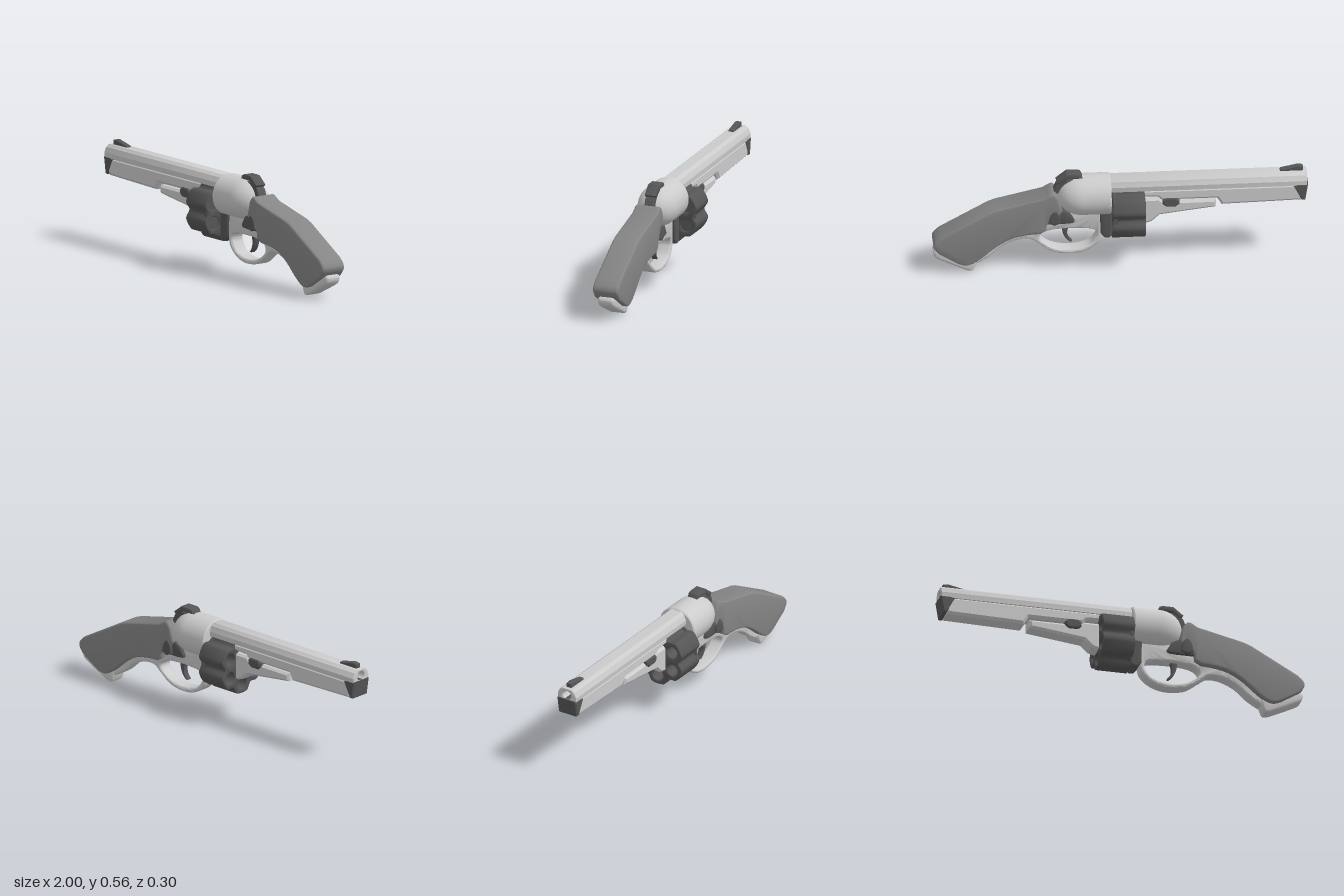
import * as THREE from 'three';
import { toCreasedNormals } from 'three/addons/utils/BufferGeometryUtils.js';

const light = new THREE.MeshStandardMaterial({ color: 0xcccccc });
const mid = new THREE.MeshStandardMaterial({ color: 0x858585 });
const dark = new THREE.MeshStandardMaterial({ color: 0x565656 });

const vectors = (pts) => pts.map(([x, y]) => new THREE.Vector2(x, y));
const polygon = (pts) => new THREE.Shape(vectors(pts));

// Closed outline from straight runs and smooth runs (splines through their points)
function outline(...runs) {
  const shape = new THREE.Shape();
  runs.forEach((run, i) => {
    const [first, ...rest] = vectors(run);
    if (i === 0) shape.moveTo(first.x, first.y);
    else shape.lineTo(first.x, first.y);
    if (rest.length) shape.splineThru(rest);
  });
  return shape;
}

// Extrusion across z, centred, whose outline keeps its size when bevelled
function plateGeometry(shape, half, bevel, segments = 1, curveSegments = 6) {
  const geo = new THREE.ExtrudeGeometry(shape, {
    depth: 2 * (half - bevel), bevelEnabled: bevel > 0, bevelThickness: bevel,
    bevelSize: bevel, bevelOffset: -bevel, bevelSegments: segments, curveSegments,
  });
  return geo.translate(0, 0, -(half - bevel));
}

export function createModel() {
  const model = new THREE.Group();
  const add = (name, geo, material, crease = 0.6) => {
    const mesh = new THREE.Mesh(toCreasedNormals(geo, crease), material);
    mesh.name = name;
    model.add(mesh);
    return mesh;
  };
  const plate = (name, shape, half, bevel, material, segments = 1, crease = 0.6) =>
    add(name, plateGeometry(shape, half, bevel, segments), material, crease);
  // Section given in (z, y), extruded along x
  const alongX = (shape, x0, x1, bevel = 0) =>
    plateGeometry(shape, (x1 - x0) / 2, bevel, 2, 10).rotateY(Math.PI / 2).translate((x0 + x1) / 2, 0, 0);

  // Upper barrel with its bore
  const upper = polygon([
    [-0.058, 0.462], [0.058, 0.462], [0.06, 0.49], [0.048, 0.518], [0.03, 0.532],
    [-0.03, 0.532], [-0.048, 0.518], [-0.06, 0.49],
  ]);
  upper.holes.push(new THREE.Path().absarc(0, 0.492, 0.026, 0, Math.PI * 2, true));
  add('upperBarrel', alongX(upper, -0.995, 0.07, 0.006), light, 0.4);

  // Lower barrel, stepped up above the lug
  plate('lowerBarrel', polygon([
    [-0.975, 0.468], [-0.965, 0.37], [-0.54, 0.36], [-0.515, 0.4], [-0.22, 0.4],
    [-0.2, 0.42], [-0.1, 0.425], [-0.1, 0.468],
  ]), 0.056, 0.014, light, 1, 0.3);

  // Dark muzzle shoe and front sight
  plate('muzzleShoe', polygon([
    [-1, 0.47], [-0.985, 0.375], [-0.965, 0.375], [-0.92, 0.462], [-0.94, 0.47],
  ]), 0.06, 0.006, dark);
  plate('frontSight', polygon([
    [-0.975, 0.525], [-0.975, 0.555], [-0.95, 0.56], [-0.855, 0.54], [-0.85, 0.525],
  ]), 0.016, 0.004, dark);

  // Lug under the barrel and its latch
  plate('lug', polygon([
    [-0.51, 0.39], [-0.51, 0.345], [-0.21, 0.308], [-0.17, 0.27], [-0.14, 0.26],
    [-0.12, 0.26], [-0.12, 0.41], [-0.21, 0.41], [-0.23, 0.39],
  ]), 0.05, 0.012, light, 1, 0.3);
  plate('latch', polygon([
    [-0.315, 0.4], [-0.315, 0.378], [-0.295, 0.362], [-0.245, 0.362],
    [-0.225, 0.378], [-0.225, 0.4], [-0.245, 0.417], [-0.295, 0.417],
  ]), 0.062, 0.008, dark);

  // Fluted cylinder with chambers
  const cylinderY = 0.33;
  const flutePoints = [];
  for (let i = 0; i < 120; i++) {
    const a = (i / 120) * Math.PI * 2;
    const away = Math.abs(((a + Math.PI / 6) % (Math.PI / 3)) - Math.PI / 6) / 0.32;
    const r = 0.16 - (away < 1 ? 0.0145 * (1 + Math.cos(Math.PI * away)) : 0);
    flutePoints.push([r * Math.cos(a), cylinderY + r * Math.sin(a)]);
  }
  const drum = polygon(flutePoints);
  for (let i = 0; i < 6; i++) {
    const a = ((i + 0.5) * Math.PI) / 3;
    drum.holes.push(new THREE.Path().absarc(
      0.106 * Math.cos(a), cylinderY + 0.106 * Math.sin(a), 0.034, 0, Math.PI * 2, true));
  }
  add('cylinder', alongX(drum, -0.13, 0.045, 0.005), dark);
  const rear = new THREE.CylinderGeometry(0.14, 0.14, 0.015, 36).rotateZ(Math.PI / 2);
  add('chamberBacking', rear.translate(0.03, cylinderY, 0), dark);
  plate('recoilPlate', outline(
    [[0.04, 0.4], [0.04, 0.2]], [[0.06, 0.18], [0.085, 0.185], [0.105, 0.21]], [[0.11, 0.4]],
  ), 0.055, 0.012, dark, 3);

  // Round receiver with a domed back
  const dome = [[0, 0.05], [0.106, 0.05], [0.112, 0.056], [0.112, 0.2]];
  for (let i = 1; i <= 10; i++) {
    const a = (i / 10) * Math.PI / 2;
    dome.push([0.112 * Math.cos(a), 0.2 + 0.135 * Math.sin(a)]);
  }
  dome[dome.length - 1][0] = 0;
  const receiver = new THREE.LatheGeometry(vectors(dome), 48).rotateZ(-Math.PI / 2);
  add('receiver', receiver.translate(0, 0.428, 0), light);

  // Lower frame, trigger guard and tang in one piece
  const frame = outline(
    [[0.1, 0.34], [0.098, 0.2], [0.125, 0.14], [0.19, 0.098], [0.27, 0.086], [0.36, 0.102],
      [0.43, 0.15], [0.48, 0.183], [0.55, 0.18], [0.63, 0.145], [0.7, 0.085], [0.765, 0.045]],
    [[0.8, 0.1], [0.66, 0.2], [0.5, 0.27]],
    [[0.4, 0.34]],
  );
  frame.holes.push(new THREE.Path().setFromPoints(new THREE.SplineCurve(vectors([
    [0.125, 0.19], [0.16, 0.14], [0.22, 0.118], [0.29, 0.113], [0.37, 0.132], [0.425, 0.175],
    [0.42, 0.21], [0.37, 0.233], [0.27, 0.24], [0.17, 0.235], [0.13, 0.22], [0.125, 0.19],
  ])).getPoints(44).slice(0, -1)));
  plate('frameAndGuard', frame, 0.04, 0.011, light, 4, 0.9);

  // Trigger
  plate('trigger', outline(
    [[0.265, 0.26], [0.28, 0.21], [0.275, 0.175], [0.255, 0.147]],
    [[0.265, 0.145], [0.29, 0.17], [0.306, 0.21], [0.31, 0.26]],
  ), 0.016, 0.005, dark, 2);

  // Grip
  plate('grip', outline(
    [[0.33, 0.44], [0.36, 0.468], [0.41, 0.443]],
    [[0.66, 0.385], [0.7, 0.37]],
    [[0.96, 0.225], [0.99, 0.195], [0.995, 0.165], [0.97, 0.128]],
    [[0.87, 0.066], [0.83, 0.052], [0.79, 0.06], [0.74, 0.093], [0.66, 0.16], [0.58, 0.205], [0.5, 0.223], [0.43, 0.228]],
    [[0.395, 0.25], [0.385, 0.29], [0.34, 0.31], [0.31, 0.36]],
  ), 0.0725, 0.013, mid, 4, 0.7);

  // Butt cap
  plate('buttCap', outline(
    [[0.76, 0.075], [0.772, 0.03], [0.79, 0.003], [0.825, 0.01]],
    [[0.95, 0.07], [0.985, 0.092], [0.995, 0.12], [0.985, 0.138]],
    [[0.95, 0.135], [0.83, 0.075]],
  ), 0.046, 0.016, light, 5, 1);

  // Side plates at the front of the grip, on both sides
  plate('sidePlate', outline(
    [[0.245, 0.3], [0.25, 0.285], [0.29, 0.28]], [[0.4, 0.28]],
    [[0.39, 0.37], [0.33, 0.37], [0.27, 0.345]],
  ), 0.062, 0.01, dark, 2);
  plate('sideButton', outline(
    [[0.318, 0.295], [0.325, 0.34], [0.35, 0.367], [0.375, 0.34], [0.385, 0.295]], [[0.352, 0.28]],
  ), 0.078, 0.007, dark, 2);

  // Hammer with a wide spur
  plate('hammer', polygon([
    [0.24, 0.45], [0.24, 0.53], [0.3, 0.53], [0.34, 0.5], [0.36, 0.45],
  ]), 0.026, 0.004, dark);
  plate('hammerSpur', polygon([
    [0.2, 0.538], [0.21, 0.558], [0.225, 0.564], [0.285, 0.564], [0.34, 0.52],
    [0.322, 0.502], [0.28, 0.535],
  ]), 0.032, 0.006, dark, 2);

  return model;
}
